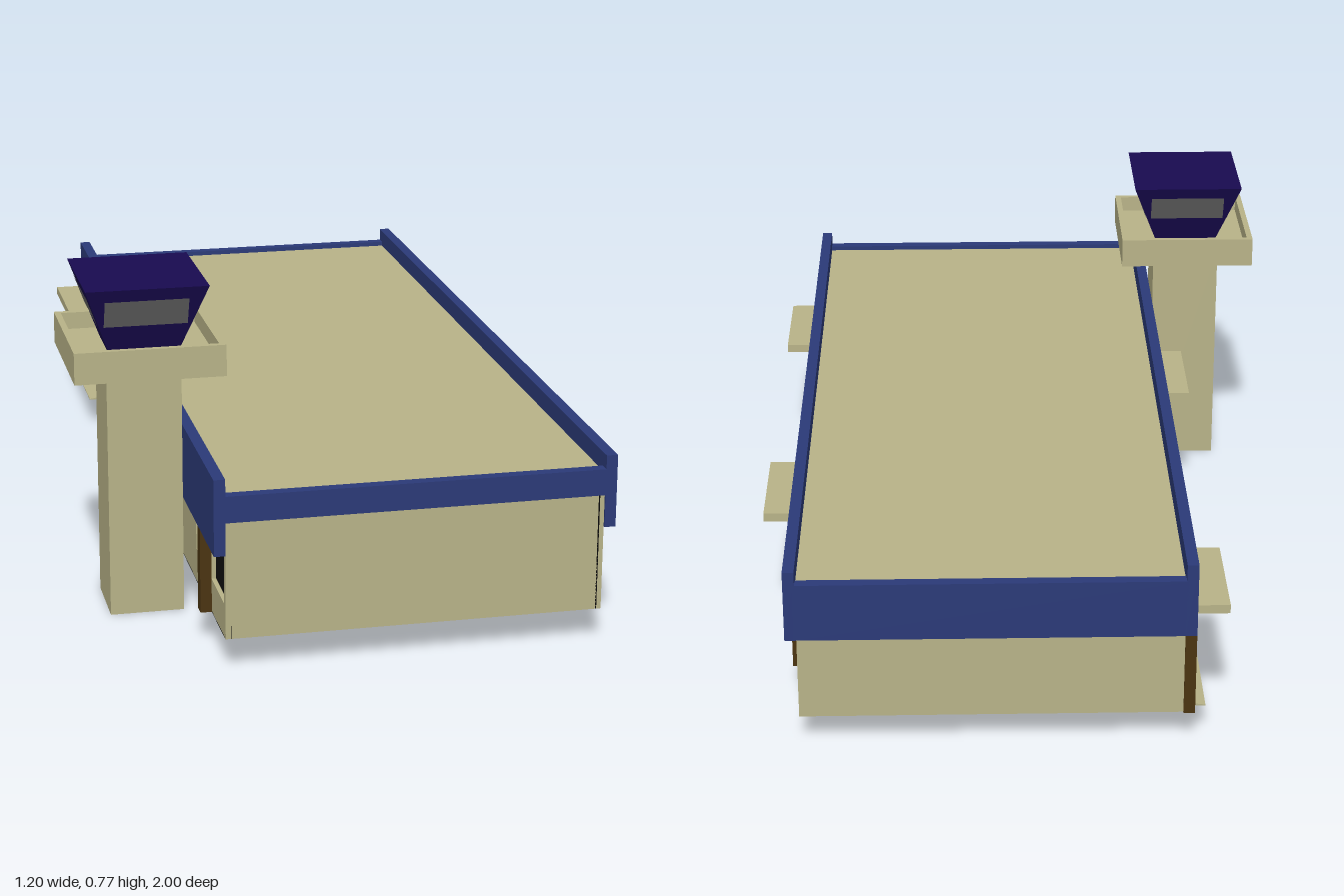
import * as THREE from 'three';

const mat = (color) => new THREE.MeshStandardMaterial({ color, flatShading: true, side: THREE.DoubleSide });

export function createModel() {
  const root = new THREE.Group();
  const khaki = mat(0xb8b388), blue = mat(0x2b3a78), brown = mat(0x4a3410);
  const black = mat(0x080808), indigo = mat(0x180a50), glass = mat(0x666666);

  const add = (name, geo, material, parent = root) => {
    const m = new THREE.Mesh(geo, material);
    m.name = name;
    parent.add(m);
    return m;
  };
  // box from its min and max on each axis
  const box = (name, x0, x1, y0, y1, z0, z1, material, parent) => {
    const g = new THREE.BoxGeometry(Math.abs(x1 - x0), y1 - y0, z1 - z0);
    g.translate((x0 + x1) / 2, (y0 + y1) / 2, (z0 + z1) / 2);
    return add(name, g, material, parent);
  };

  // floor, ceiling and roof
  box('floor', -0.33, 0.5, 0.073, 0.079, -0.985, 0.985, black);
  box('ceiling', -0.319, 0.489, 0.268, 0.274, -0.98, 0.98, black);
  box('roof', -0.335, 0.505, 0.37, 0.386, -0.98, 0.98, khaki);

  // end walls with dark lining
  for (const s of [1, -1]) {
    const zs = (a, b) => (s > 0 ? [a, b] : [-b, -a]);
    box('endWall', -0.33, 0.5, 0.075, 0.38, ...zs(0.985, 0.995), khaki);
    box('endWallLining', -0.32, 0.49, 0.079, 0.268, ...zs(0.981, 0.985), black);
    box('endFascia', -0.335, 0.505, s > 0 ? 0.338 : 0.265, 0.397, ...zs(0.975, 1), blue);
  }

  // side wall with window and door openings, shape drawn in z and y
  const sideWall = (name, x, depth, openings, material) => {
    const rect = (P, z0, z1, y0, y1) => new P([
      new THREE.Vector2(z0, y0), new THREE.Vector2(z1, y0),
      new THREE.Vector2(z1, y1), new THREE.Vector2(z0, y1)]);
    const shape = rect(THREE.Shape, -0.995, 0.995, 0.075, 0.38);
    for (const [z0, z1, door] of openings) {
      shape.holes.push(rect(THREE.Path, z0, z1, door ? 0.085 : 0.15, 0.265));
    }
    const g = new THREE.ExtrudeGeometry(shape, { depth, bevelEnabled: false });
    g.rotateY(-Math.PI / 2).translate(x, 0, 0);
    add(name, g, material);
  };

  const sides = [
    {
      s: 1, wall: 0.5, top: 0.428,
      columns: [0.88, 0.3, 0.12, -0.08, -0.76],
      doors: [[0.475, 0.745, 0.295], [-0.52, -0.25, 0.305]],
      windows: [[0.895, 0.985], [0.77, 0.865], [0.315, 0.46], [0.22, 0.285], [0.135, 0.2],
        [0.03, 0.105], [-0.065, 0.01], [-0.23, -0.095], [-0.745, -0.54], [-0.87, -0.775], [-0.985, -0.89]],
    },
    {
      s: -1, wall: -0.33, top: 0.435,
      columns: [0.82, -0.14, -0.3, -0.45, -0.983],
      doors: [[0.135, 0.4, 0.3], [-0.965, -0.7, 0.3]],
      windows: [[0.835, 0.98], [0.65, 0.805], [0.025, 0.115], [-0.125, 0.005],
        [-0.285, -0.155], [-0.435, -0.315], [-0.68, -0.465]],
    },
  ];
  for (const { s, wall, top, columns, doors, windows } of sides) {
    const out = wall + s * 0.025;
    const openings = [...windows, ...doors.map(([a, b]) => [a, b, true])];
    sideWall('sideWall', s > 0 ? wall : wall + 0.01, 0.01, openings, khaki);
    sideWall('sideWallLining', s > 0 ? wall - 0.01 : wall + 0.013, 0.003, openings, black);
    box('sideFascia', wall, out, 0.265, top, -1, 1, blue);
    for (const z of columns) box('column', wall, out, 0.073, 0.266, z - 0.015, z + 0.015, brown);

    for (const [z0, z1, y] of doors) {
      // canopy: top plate with a rim, hollow underneath
      const canopy = new THREE.Group();
      canopy.name = 'canopy';
      root.add(canopy);
      const tip = out + s * 0.073;
      box('canopyTop', out, tip, y + 0.014, y + 0.02, z0, z1, khaki, canopy);
      box('canopyFront', tip - s * 0.006, tip, y, y + 0.014, z0, z1, khaki, canopy);
      for (const z of [z0, z1 - 0.006]) box('canopySide', out, tip, y, y + 0.014, z, z + 0.006, khaki, canopy);
      // sloping doorstep
      const step = new THREE.BoxGeometry(0.055, 0.01, z1 - z0 + 0.01);
      const p = step.attributes.position;
      for (let i = 0; i < p.count; i++) if (p.getX(i) * s > 0 && p.getY(i) > 0) p.setY(i, -0.003);
      step.translate(wall + s * 0.0225, 0.08, (z0 + z1) / 2);
      add('doorstep', step, khaki);
    }
  }

  // control tower
  const tower = new THREE.Group();
  tower.name = 'tower';
  root.add(tower);
  box('towerShaft', -0.522, -0.356, 0, 0.57, 0.468, 0.632, khaki, tower);
  const [px0, px1, pz0, pz1, t] = [-0.602, -0.27, 0.378, 0.71, 0.014];
  box('balconyFloor', px0, px1, 0.567, 0.6, pz0, pz1, khaki, tower);
  for (const z of [pz0, pz1 - t]) box('balconyParapet', px0, px1, 0.6, 0.638, z, z + t, khaki, tower);
  for (const x of [px0, px1 - t]) box('balconyParapet', x, x + t, 0.6, 0.638, pz0 + t, pz1 - t, khaki, tower);

  // flared cab, wider at the top
  const cab = new THREE.Group();
  cab.name = 'cab';
  cab.position.set(-0.437, 0, 0.545);
  tower.add(cab);
  const yb = 0.6, yt = 0.766, hb = 0.074, ht = 0.135;
  const half = (y) => hb + (ht - hb) * (y - yb) / (yt - yb);
  const body = new THREE.BoxGeometry(2, yt - yb, 2);
  body.translate(0, (yb + yt) / 2, 0);
  const q = body.attributes.position;
  for (let i = 0; i < q.count; i++) {
    const h = half(q.getY(i));
    q.setXYZ(i, q.getX(i) * h, q.getY(i), q.getZ(i) * h * 1.07);
  }
  body.computeVertexNormals();
  add('cabBody', body, indigo, cab);

  // one tilted window on each cab face
  for (let k = 0; k < 4; k++) {
    const g = new THREE.PlaneGeometry(k % 2 ? 0.21 : 0.184, 0.062);
    g.translate(0, 0.707, 0);
    const v = g.attributes.position;
    for (let i = 0; i < v.count; i++) v.setZ(i, half(v.getY(i)) * (k % 2 ? 1 : 1.07) + 0.002);
    g.rotateY(k * Math.PI / 2);
    g.computeVertexNormals();
    add('cabWindow', g, glass, cab);
  }
  return root;
}
